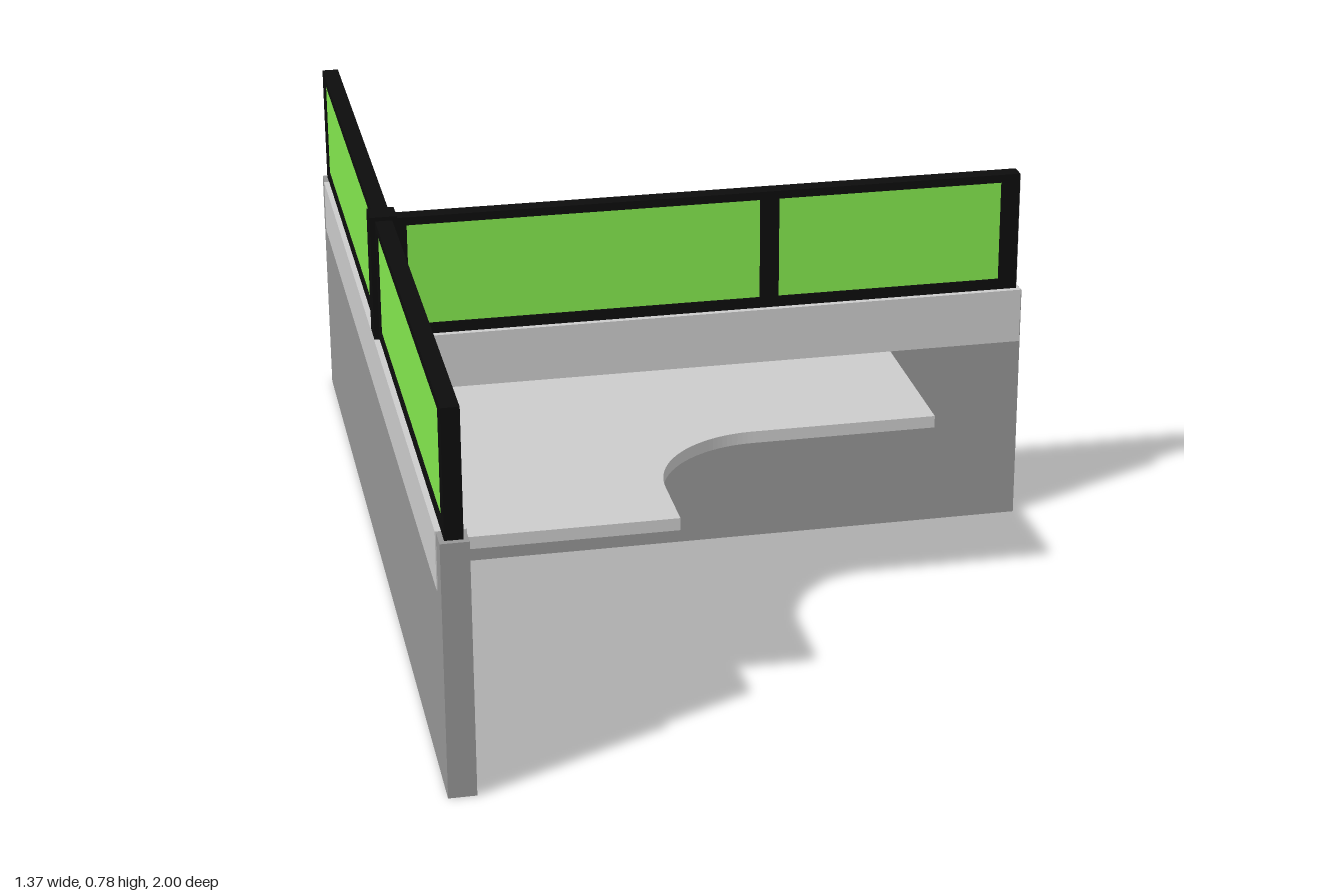
import * as THREE from 'three';

const mat = (color) => new THREE.MeshStandardMaterial({ color });

export function createModel() {
  const light = mat(0xcccccc), dark = mat(0x959595), black = mat(0x0c0c0c), green = mat(0x84e84e);
  const model = new THREE.Group();
  model.name = 'cubicleWorkstation';

  // Box given by its minimum and maximum corners
  function box(parent, name, material, [x0, y0, z0], [x1, y1, z1]) {
    const mesh = new THREE.Mesh(new THREE.BoxGeometry(x1 - x0, y1 - y0, z1 - z0), material);
    mesh.position.set((x0 + x1) / 2, (y0 + y1) / 2, (z0 + z1) / 2);
    mesh.name = name;
    parent.add(mesh);
  }

  // Framed glazing running along local x, with posts at the given spans
  function glazing(name, x0, x1, posts) {
    const g = new THREE.Group(), t = 0.0175;
    g.name = name;
    box(g, 'bottomRail', black, [x0, 0.516, -t], [x1, 0.54, t]);
    box(g, 'topRail', black, [x0, 0.755, -t], [x1, 0.772, t]);
    posts.forEach(([a, b], i) => {
      box(g, 'post', black, [a, 0.54, -t], [b, 0.755, t]);
      if (i > 0) box(g, 'pane', green, [posts[i - 1][1], 0.54, -t + 0.003], [a, 0.755, t - 0.003]);
    });
    model.add(g);
    return g;
  }

  // Long spine partition with a pale upper band
  box(model, 'spinePanel', dark, [-0.684, 0, -1], [-0.63, 0.515, 1]);
  box(model, 'spineBand', light, [-0.686, 0.4, -0.95], [-0.628, 0.517, 0.95]);

  // Cross partition dividing the two desks
  box(model, 'dividerPanel', dark, [-0.63, 0, -0.028], [0.684, 0.515, 0.028]);
  box(model, 'dividerBand', light, [-0.63, 0.4, -0.03], [0.682, 0.517, 0.03]);

  // Glazed screens on top of the partitions
  glazing('dividerScreen', -0.63, 0.675, [[-0.63, -0.61], [0.12, 0.16], [0.635, 0.675]]);
  box(model, 'screenEndCap', light, [0.675, 0.517, -0.014], [0.677, 0.76, 0.014]);
  for (const s of [-1, 1]) {
    const screen = glazing('spineScreen', 0.02, 0.99, [[0.02, 0.05], [0.95, 0.99]]);
    screen.rotation.y = -s * Math.PI / 2;
    screen.position.x = -0.657;
  }
  box(model, 'junctionPost', black, [-0.685, 0.515, -0.028], [-0.63, 0.78, 0.028]);

  // L-shaped desk outline with a concave inner corner, drawn in x and z
  function desk(s) {
    const end = 0.743, inner = 0.378;
    const shape = new THREE.Shape();
    shape.moveTo(-0.63, s * 0.028);
    shape.lineTo(0.4, s * 0.028);
    shape.lineTo(0.4, s * inner);
    shape.lineTo(0.025, s * inner);
    shape.absellipse(0.025, s * (inner + 0.222), 0.222, 0.222, -s * Math.PI / 2, s > 0 ? -Math.PI : Math.PI, s > 0);
    shape.lineTo(-0.197, s * end);
    shape.lineTo(-0.63, s * end);
    shape.closePath();
    const geo = new THREE.ExtrudeGeometry(shape, { depth: 0.025, bevelEnabled: false, curveSegments: 16 });
    geo.rotateX(Math.PI / 2);
    const mesh = new THREE.Mesh(geo, light);
    mesh.position.y = 0.4;
    mesh.name = s > 0 ? 'frontDesk' : 'backDesk';
    model.add(mesh);
  }
  desk(1);
  desk(-1);

  return model;
}
